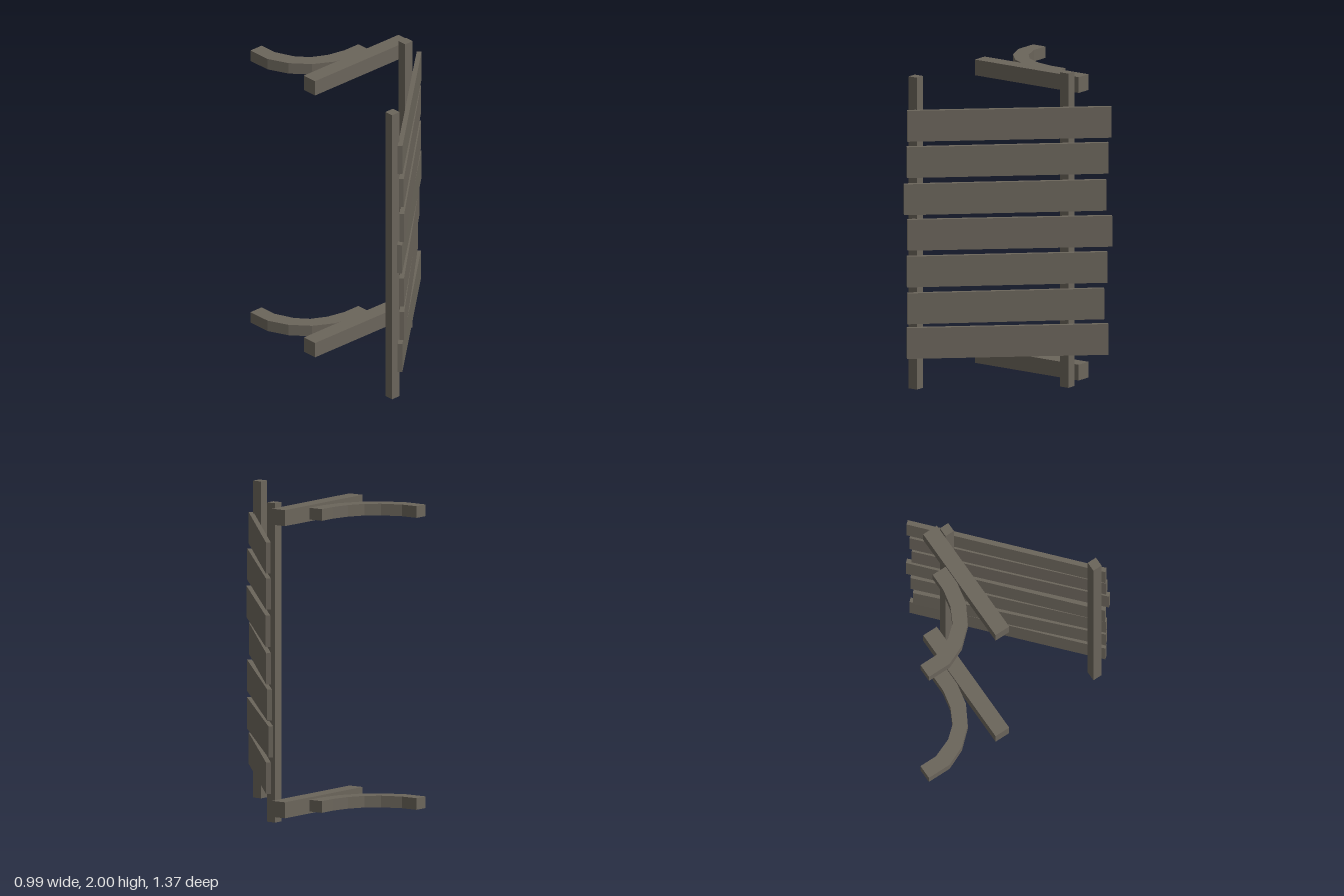
import * as THREE from 'three';

export function createModel() {
  const group = new THREE.Group();
  const wood = new THREE.MeshStandardMaterial({ color: 0x6b655b, flatShading: true });
  wood.name = 'weathered wood';

  function add(name, geometry) {
    const mesh = new THREE.Mesh(geometry, wood);
    mesh.name = name;
    group.add(mesh);
    return mesh;
  }

  // Box given by its limits on each axis
  function beam(name, [x0, x1], [y0, y1], [z0, z1]) {
    add(name, new THREE.BoxGeometry(x1 - x0, y1 - y0, z1 - z0))
      .position.set((x0 + x1) / 2, (y0 + y1) / 2, (z0 + z1) / 2);
  }

  // Upright posts
  beam('rightPost', [-0.491, -0.428], [0.01, 1.995], [0.543, 0.604]);
  beam('leftPost', [0.208, 0.271], [0, 2], [-0.09, -0.028]);

  // Cross bars behind the left post
  beam('lowerCrossBar', [-0.497, 0.305], [0.04, 0.14], [-0.192, -0.09]);
  beam('upperCrossBar', [-0.497, 0.305], [1.87, 1.97], [-0.192, -0.09]);

  // Curved brackets, outlined in plan as [x, z]
  const outline = [
    [-0.49, -0.685], [-0.49, -0.53], [-0.434, -0.401], [-0.335, -0.29],
    [-0.212, -0.221], [-0.074, -0.193], [0.055, -0.193], [0.055, -0.29],
    [-0.062, -0.29], [-0.18, -0.315], [-0.28, -0.367], [-0.347, -0.446],
    [-0.396, -0.57], [-0.396, -0.685],
  ];
  const plan = new THREE.Shape(outline.map(([x, z]) => new THREE.Vector2(x, -z)));
  for (const [name, y] of [['lowerBracket', 0.053], ['upperBracket', 1.882]]) {
    const bracket = new THREE.ExtrudeGeometry(plan, { depth: 0.073, bevelEnabled: false });
    bracket.rotateX(-Math.PI / 2);
    add(name, bracket).position.y = y;
  }

  // Diagonal planks: centre height, x limits, z limits
  const thickness = 0.03;
  const planks = [
    [0.31, -0.48, 0.475, -0.193, 0.662],
    [0.533, -0.472, 0.445, -0.189, 0.67],
    [0.767, -0.474, 0.465, -0.194, 0.67],
    [0.998, -0.48, 0.493, -0.208, 0.659],
    [1.228, -0.486, 0.466, -0.183, 0.685],
    [1.463, -0.476, 0.475, -0.193, 0.67],
    [1.692, -0.479, 0.491, -0.204, 0.662],
  ];
  planks.forEach(([y, x0, x1, z0, z1], i) => {
    const inset = thickness * 0.7;
    const dx = x1 - x0 - inset;
    const dz = z1 - z0 - inset;
    const plank = add('plank' + (i + 1),
      new THREE.BoxGeometry(Math.hypot(dx, dz), 0.196, thickness));
    plank.position.set((x0 + x1) / 2, y, (z0 + z1) / 2);
    plank.rotation.y = Math.atan2(dz, dx);
  });

  return group;
}
